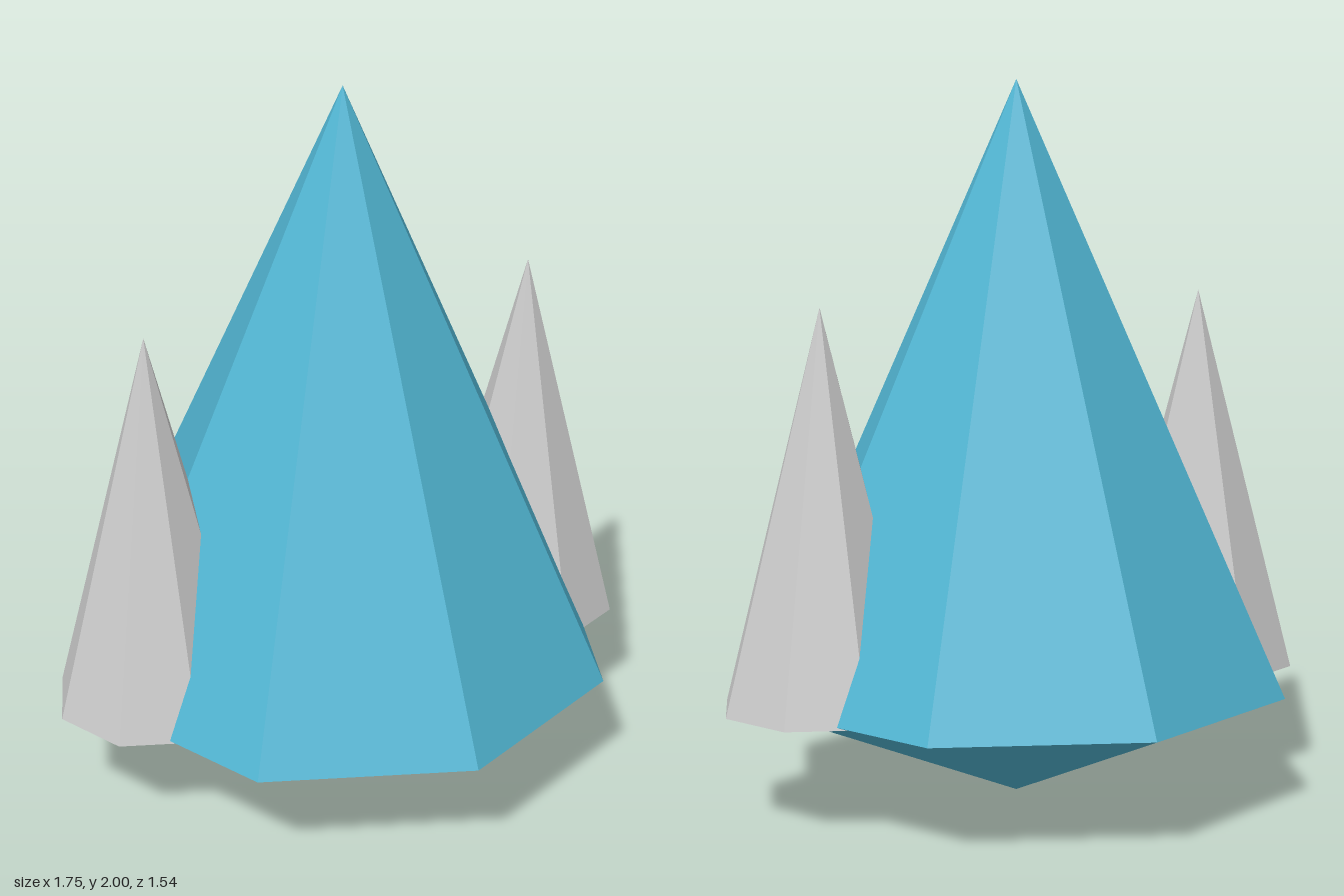
import * as THREE from 'three';

const SIDES = 8;

export function createModel() {
  const model = new THREE.Group();
  model.name = 'crystalCluster';

  const blue = new THREE.MeshStandardMaterial({ color: 0x51b5d2, flatShading: true });
  const grey = new THREE.MeshStandardMaterial({ color: 0xcccccc, flatShading: true });

  // Eight-sided spike standing on baseY with its tip at tipY (a lower tip points down)
  function addSpike(name, radius, baseY, tipY, x, material, open) {
    const height = Math.abs(tipY - baseY);
    const geometry = new THREE.ConeGeometry(radius, height, SIDES, 1, open);
    if (tipY < baseY) geometry.rotateX(Math.PI);
    const spike = new THREE.Mesh(geometry, material);
    spike.name = name;
    spike.position.set(x, (baseY + tipY) / 2, 0);
    model.add(spike);
  }

  // Large central crystal: tall upper point and shallow lower point share one rim
  addSpike('crystalTop', 0.77, 0.32, 2, 0, blue, true);
  addSpike('crystalBottom', 0.77, 0.32, 0, 0, blue, true);

  // Small grey crystals on both sides
  for (const [name, side] of [['leftShard', 1], ['rightShard', -1]]) {
    addSpike(name, 0.285, 0.312, 1.4, side * 0.592, grey, false);
  }

  return model;
}
